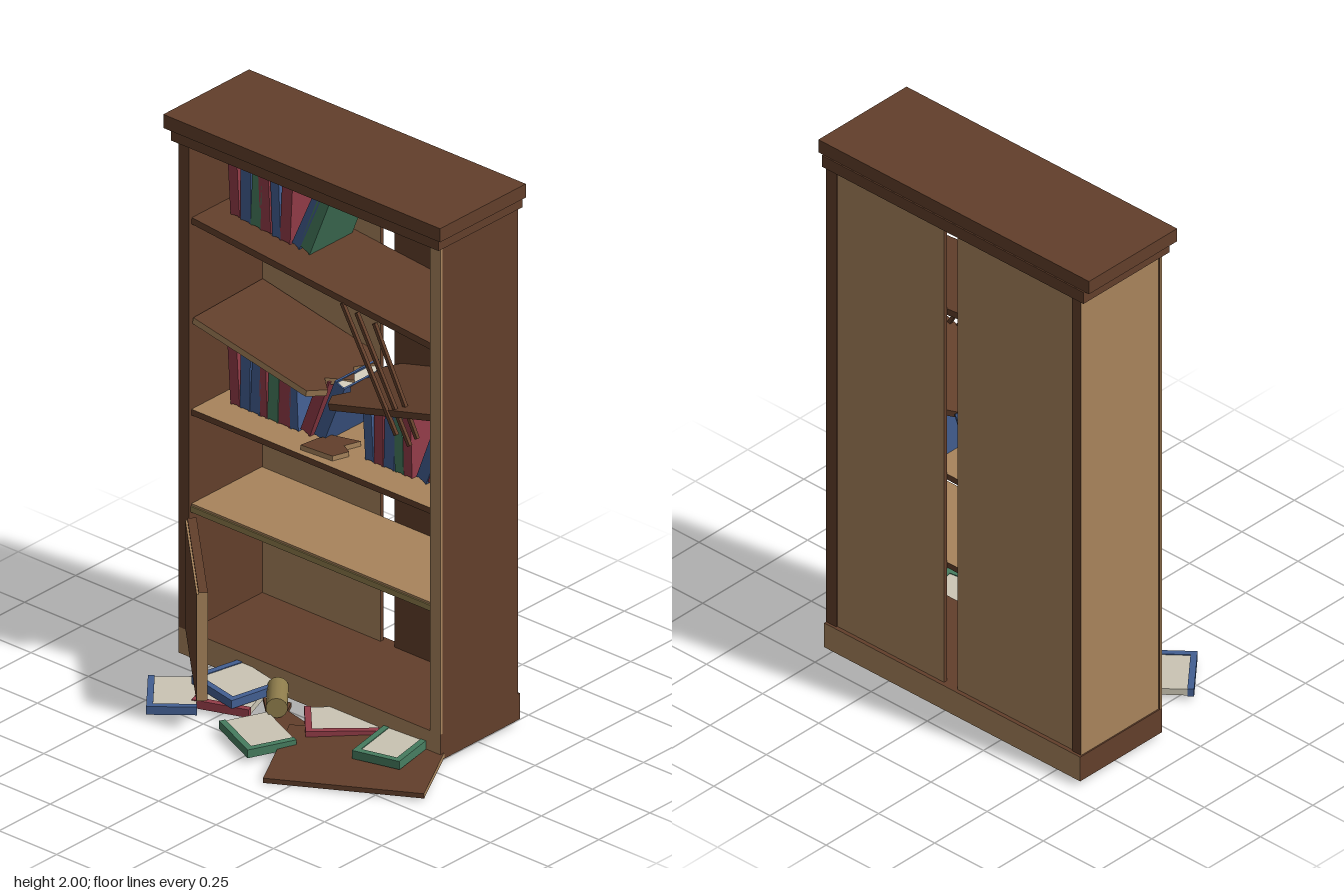
import * as THREE from 'three';

const mat = (name, color) => Object.assign(new THREE.MeshStandardMaterial({ color }), { name });
const dark = mat('darkWood', 0x623f2b), tan = mat('tanWood', 0xa8845c), olive = mat('olive', 0x8f7d4c);
const red = mat('redCover', 0x933c48), blue = mat('blueCover', 0x435f92), green = mat('greenCover', 0x467c5f);
const cream = mat('paper', 0xcbc5b4);
const woods = { D: dark, T: tan, O: olive };

// Box from min/max corners; faces lists wood letters as +x -x +y -y +z -z
function slab(parent, name, x0, x1, y0, y1, z0, z1, faces = 'DDDDDD') {
  const m = new THREE.Mesh(new THREE.BoxGeometry(x1 - x0, y1 - y0, z1 - z0), [...faces].map(f => woods[f]));
  m.position.set((x0 + x1) / 2, (y0 + y1) / 2, (z0 + z1) / 2);
  m.name = name;
  parent.add(m);
  return m;
}

function block(parent, name, material, w, h, d, x, y, z) {
  const m = new THREE.Mesh(new THREE.BoxGeometry(w, h, d), material);
  m.position.set(x, y, z);
  m.name = name;
  parent.add(m);
  return m;
}

// Flat broken board drawn in plan (x, -z)
function brokenBoard(parent, name, points, thickness, caps, sides, pos, rot) {
  const g = new THREE.ExtrudeGeometry(new THREE.Shape(points.map(p => new THREE.Vector2(...p))),
    { depth: thickness, bevelEnabled: false });
  g.rotateX(-Math.PI / 2);
  const m = new THREE.Mesh(g, [caps, sides]);
  m.name = name;
  m.position.set(...pos);
  m.rotation.set(...rot);
  parent.add(m);
}

// Upright book: spine to the front, paper showing at head and foot
function standingBook(parent, color, x, y, w, h, lean) {
  const b = new THREE.Group(), d = 0.21, t = 0.006;
  b.name = 'standingBook';
  for (const s of [-1, 1]) block(b, 'cover', color, t, h, d, s * (w - t) / 2, h / 2, 0);
  block(b, 'spine', color, w - 2 * t, h - 0.006, t, 0, h / 2, d / 2 - t / 2);
  block(b, 'pages', cream, w - 2 * t, h - 0.02, d - 0.016, 0, h / 2, -0.002);
  b.position.set(x, y + Math.abs(Math.sin(lean)) * w / 2, -0.275);
  b.rotation.z = -lean;
  parent.add(b);
}

// Book lying flat, paper up, with coloured edging on the listed sides
function fallenBook(parent, color, x, y, z, angle, w, d, edges, tilt = 0) {
  const b = new THREE.Group(), h = 0.03, e = 0.022;
  b.name = 'fallenBook';
  block(b, 'pages', cream, w - 0.004, h * 0.8, d - 0.004, 0, h / 2, 0);
  if (edges.includes('L')) block(b, 'edge', color, e, h, d, -w / 2 + e / 2, h / 2, 0);
  if (edges.includes('R')) block(b, 'edge', color, e, h, d, w / 2 - e / 2, h / 2, 0);
  if (edges.includes('B')) block(b, 'edge', color, w, h, e, 0, h / 2, d / 2 - e / 2);
  b.position.set(x, y, z);
  b.rotation.set(0, -angle, tilt);
  parent.add(b);
}

export function createModel() {
  const g = new THREE.Group();
  g.name = 'brokenBookcase';

  // Carcass
  slab(g, 'plinth', -0.62, 0.52, 0.02, 0.115, -0.435, -0.045, 'DDDTTT');
  slab(g, 'rightSide', -0.615, -0.575, 0.115, 1.905, -0.425, -0.055, 'DTDDDD');
  slab(g, 'leftSide', 0.475, 0.52, 0.115, 1.905, -0.425, -0.055, 'DDDDTD');
  slab(g, 'rightStile', -0.62, -0.575, 0.115, 1.905, -0.055, -0.045, 'DTDDDD');
  slab(g, 'leftStile', 0.475, 0.52, 0.115, 1.905, -0.055, -0.045, 'TTDDTD');
  slab(g, 'lowerCornice', -0.635, 0.53, 1.905, 1.95, -0.435, -0.025);
  slab(g, 'topCornice', -0.655, 0.55, 1.95, 2, -0.43, -0.01);
  slab(g, 'backPanel', -0.575, -0.06, 0.115, 1.905, -0.42, -0.405, 'DDDDTT');
  slab(g, 'backPanel', 0, 0.475, 0.115, 1.905, -0.42, -0.405, 'DDDDDT');

  // Shelves
  const sloped = slab(g, 'slopedShelf', -0.527, 0.527, -0.012, 0.012, -0.403, -0.058);
  sloped.position.x = -0.05;
  sloped.position.y = 1.568;
  sloped.rotation.z = -0.095;
  slab(g, 'middleShelf', -0.575, 0.475, 0.903, 0.925, -0.403, -0.058, 'DDTDDD');
  slab(g, 'lowerShelf', -0.575, 0.475, 0.557, 0.578, -0.403, -0.058, 'DDTDTD');
  slab(g, 'lowerShelfEdge', -0.575, 0.475, 0.549, 0.57, -0.06, -0.053, 'OOOOOO');

  // Snapped shelf halves, with splintered inner ends
  const leftHalf = [[0, 0], [0.5, 0], [0.54, 0.06], [0.49, 0.1], [0.56, 0.17], [0.51, 0.22], [0.54, 0.29], [0.48, 0.34], [0, 0.34]];
  brokenBoard(g, 'snappedShelf', leftHalf, 0.024, dark, tan, [-0.573, 1.24, -0.06], [0.03, 0, -0.2]);
  const rightHalf = leftHalf.map(([x, y]) => [-x * 0.94, y]).reverse();
  brokenBoard(g, 'snappedShelf', rightHalf, 0.024, dark, dark, [0.473, 1.245, -0.06], [0.05, 0, 0.26]);
  const shard = [[0, 0], [0.13, 0.01], [0.15, 0.07], [0.11, 0.09], [0.13, 0.15], [0.03, 0.12], [0.01, 0.07]];
  brokenBoard(g, 'shelfSplinter', shard, 0.018, dark, tan, [-0.12, 0.926, -0.08], [0, 0, 0]);

  // Loose sticks leaning in the gap
  for (const [x0, y0, x1, y1, z] of [[0.08, 1.545, 0.315, 1.14, -0.06], [0.13, 1.52, 0.36, 1.11, -0.075], [0.185, 1.49, 0.37, 1.13, -0.1]]) {
    const s = block(g, 'looseStick', dark, 0.013, Math.hypot(x1 - x0, y1 - y0), 0.013, (x0 + x1) / 2, (y0 + y1) / 2, z);
    s.rotation.z = Math.atan2(x1 - x0, y0 - y1);
  }

  // Rows of books: colour, foot x, width, height, lean
  const rows = [
    [x => 1.58 - 0.095 * (x + 0.05), [
      [red, -0.485, 0.04, 0.225, -0.06], [blue, -0.44, 0.043, 0.24, 0], [green, -0.396, 0.043, 0.265, 0.04],
      [red, -0.352, 0.045, 0.28, -0.05], [blue, -0.305, 0.036, 0.225, -0.04], [red, -0.268, 0.045, 0.245, 0.05],
      [blue, -0.222, 0.035, 0.25, 0.42], [green, -0.183, 0.048, 0.265, 0.38]]],
    [() => 0.925, [
      [red, -0.485, 0.04, 0.275, -0.06], [blue, -0.443, 0.042, 0.23, 0.02], [blue, -0.399, 0.042, 0.25, 0.05],
      [red, -0.361, 0.03, 0.24, -0.03], [green, -0.322, 0.045, 0.27, 0.03], [red, -0.272, 0.05, 0.225, 0.03],
      [blue, -0.227, 0.036, 0.235, -0.05], [red, -0.18, 0.043, 0.245, 0.36], [blue, -0.12, 0.045, 0.245, 0.38],
      [blue, 0.1, 0.036, 0.225, -0.06], [red, 0.14, 0.038, 0.235, 0], [blue, 0.184, 0.045, 0.25, 0.03],
      [green, 0.23, 0.037, 0.265, -0.04], [red, 0.268, 0.036, 0.23, -0.03], [blue, 0.325, 0.045, 0.235, 0.36],
      [red, 0.375, 0.043, 0.235, 0.34]]],
  ];
  for (const [base, books] of rows)
    for (const [c, x, w, h, lean] of books) standingBook(g, c, x, base(x), w, h, lean);

  // Loose panel hanging open at 45 degrees
  const panel = slab(g, 'hangingPanel', -0.25, 0.25, -0.202, 0.202, -0.015, 0.015, 'TTDDDD');
  panel.position.set(-0.38, 0.332, 0.132);
  panel.rotation.set(0, -0.77, -0.025);
  const lip = slab(panel, 'panelLip', -0.25, 0.25, -0.202, 0.195, 0.015, 0.022, 'TTTTDD');
  lip.position.x = 0;

  // Fallen board and splinters on the floor
  const board = slab(g, 'fallenBoard', -0.27, 0.27, -0.009, 0.009, -0.18, 0.18, 'TDDTDD');
  board.position.set(0.325, 0.024, 0.145);
  board.rotation.set(0.04, 0.484, 0.02, 'YXZ');
  brokenBoard(g, 'floorSplinter', [[-0.18, 0.02], [-0.03, -0.05], [0.1, -0.03], [0.06, 0.05], [-0.06, 0.04], [-0.1, 0.08]],
    0.016, dark, dark, [-0.03, 0.012, 0.09], [0, -0.3, 0]);

  // Fallen books
  fallenBook(g, blue, -0.42, 0.018, 0.21, -0.7, 0.165, 0.22, 'LB');
  fallenBook(g, red, -0.28, 0.018, 0.07, -0.35, 0.2, 0.23, 'LB');
  fallenBook(g, blue, -0.275, 0.052, 0.06, 0.21, 0.22, 0.2, 'LBR');
  fallenBook(g, green, -0.03, 0.018, 0.23, 0.42, 0.225, 0.175, 'BR');
  fallenBook(g, red, 0.126, 0.024, -0.005, -0.75, 0.24, 0.18, 'LB');
  fallenBook(g, green, 0.38, 0.038, 0.025, -0.19, 0.18, 0.23, 'LBR', 0.04);

  // Rolled paper
  const roll = new THREE.Mesh(new THREE.CylinderGeometry(0.036, 0.036, 0.15, 14).rotateX(Math.PI / 2), olive);
  roll.name = 'scroll';
  roll.position.set(-0.11, 0.068, 0.045);
  roll.rotation.y = 0.7;
  g.add(roll);

  return g;
}
